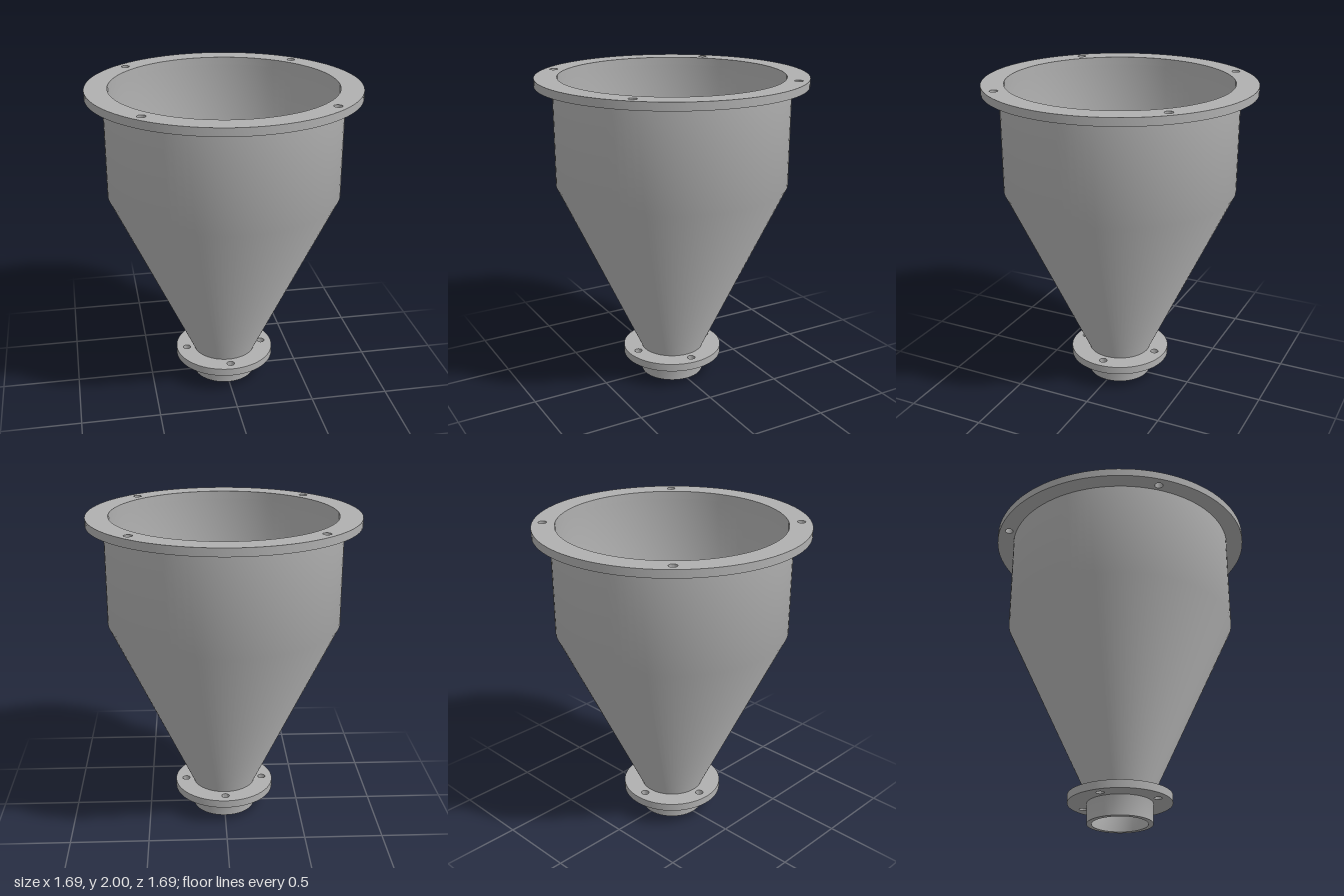
import * as THREE from 'three';
import { toCreasedNormals } from 'three/addons/utils/BufferGeometryUtils.js';

const steel = new THREE.MeshStandardMaterial({ color: 0xb0b0b0 });
steel.name = 'steel grey';

function addPart(group, name, geometry) {
  const mesh = new THREE.Mesh(toCreasedNormals(geometry, 0.6), steel);
  mesh.name = name;
  group.add(mesh);
}

// Flat ring with four bolt holes, lying level with its underside at y
function flange(outer, inner, y, thickness, boltCircle, boltRadius, startAngle) {
  const shape = new THREE.Shape().absarc(0, 0, outer, 0, Math.PI * 2);
  shape.holes.push(new THREE.Path().absarc(0, 0, inner, 0, Math.PI * 2, true));
  for (let i = 0; i < 4; i++) {
    const a = startAngle + (i * Math.PI) / 2;
    shape.holes.push(new THREE.Path().absarc(
      boltCircle * Math.cos(a), boltCircle * Math.sin(a), boltRadius, 0, Math.PI * 2, true));
  }
  const geometry = new THREE.ExtrudeGeometry(shape, {
    depth: thickness, bevelEnabled: false, curveSegments: 48,
  });
  return geometry.rotateX(-Math.PI / 2).translate(0, y, 0);
}

export function createModel() {
  const group = new THREE.Group();
  group.name = 'hopper';

  // Thin-walled shell: outside from the spout up, then back down the inside
  const profile = [
    [0.173, 0], [0.204, 0], [0.204, 0.18], [0.737, 1.325], [0.737, 1.95],
    [0.705, 1.95], [0.705, 1.325], [0.173, 0.18], [0.173, 0],
  ].map(([r, y]) => new THREE.Vector2(r, y));
  addPart(group, 'hopperShell', new THREE.LatheGeometry(profile, 96));

  // Wide rim flange, with bolt holes on the diagonals
  addPart(group, 'topFlange', flange(0.845, 0.705, 1.95, 0.05, 0.782, 0.026, Math.PI / 4));

  // Small outlet flange, with bolt holes on the axes
  addPart(group, 'outletFlange', flange(0.325, 0.19, 0.128, 0.05, 0.257, 0.025, 0));

  return group;
}
